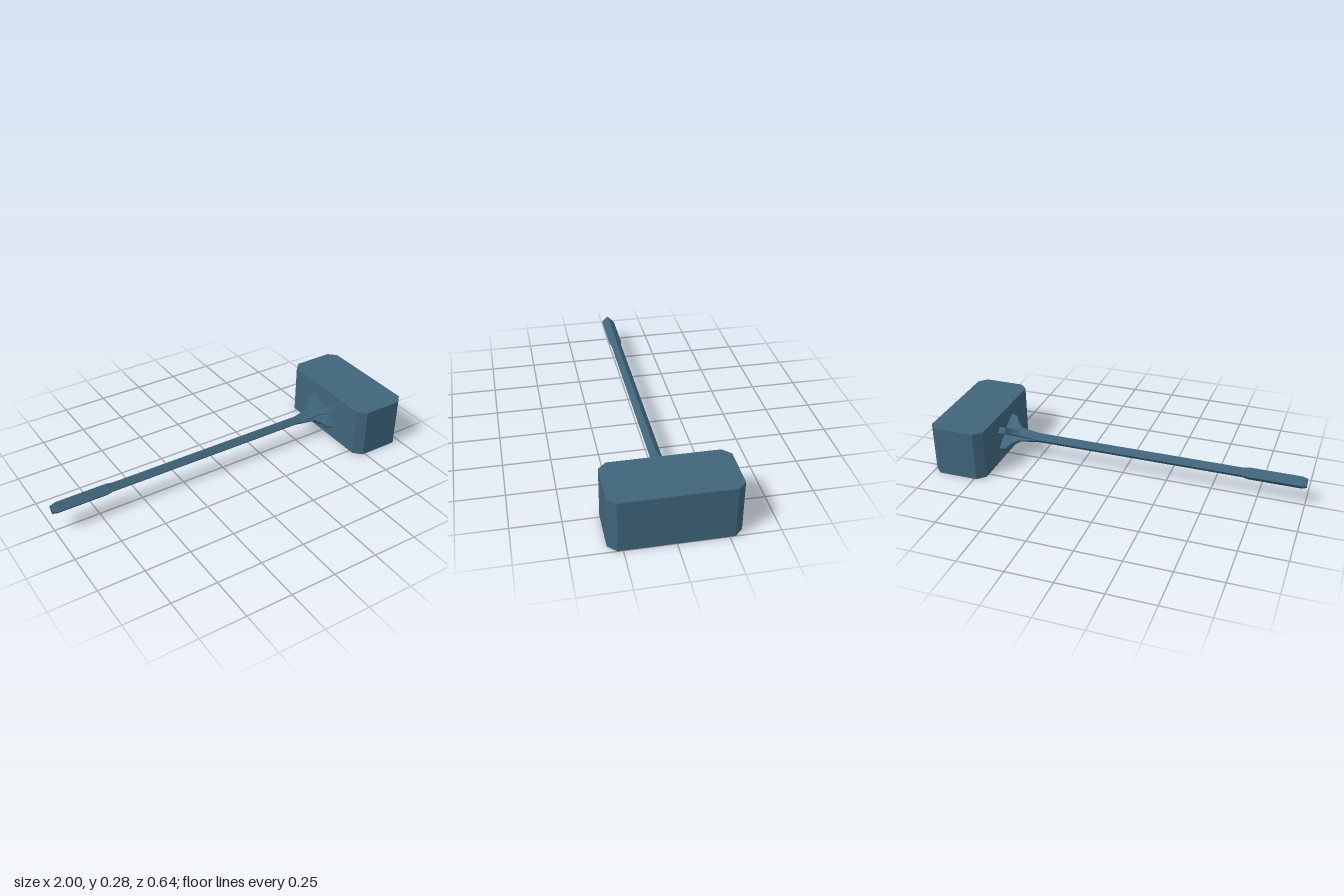
import * as THREE from 'three';

const AXIS_Y = 0.135, AXIS_Z = -0.003;

// Skin a row of cross-sections along x; each section is { x, ring: [[y, z], ...] }, turning from +y to +z
function skin(sections, capStart) {
  const pos = [];
  const point = (s, j) => {
    const [y, z] = s.ring[j % s.ring.length];
    return [s.x, y, z];
  };
  for (let i = 0; i < sections.length - 1; i++) {
    const s = sections[i], t = sections[i + 1];
    for (let j = 0; j < s.ring.length; j++) {
      const a = point(s, j), b = point(s, j + 1), c = point(t, j), d = point(t, j + 1);
      pos.push(...a, ...b, ...c, ...b, ...d, ...c);
    }
  }
  if (capStart) {
    const s = sections[0];
    for (let j = 0; j < s.ring.length; j++) pos.push(s.x, 0, 0, ...point(s, j + 1), ...point(s, j));
  }
  const g = new THREE.BufferGeometry();
  g.setAttribute('position', new THREE.Float32BufferAttribute(pos, 3));
  g.computeVertexNormals();
  return g;
}

const diamond = (x, r) => ({ x, ring: [[r, 0], [0, r], [-r, 0], [0, -r]] });

// Four diagonal arms with blunt tips, and a valley on each axis between them
function star(x, valley, [y1, z1], [y2, z2]) {
  const v = valley;
  return { x, ring: [
    [v, 0], [y1, z1], [y2, z2],
    [0, v], [-y2, z2], [-y1, z1],
    [-v, 0], [-y1, -z1], [-y2, -z2],
    [0, -v], [y2, -z2], [y1, -z1],
  ] };
}

export function createModel() {
  const steel = new THREE.MeshStandardMaterial({ color: 0x3f657b });
  steel.name = 'blueSteel';
  steel.flatShading = true;

  const group = new THREE.Group();
  const add = (name, geometry, y = 0, z = 0) => {
    const mesh = new THREE.Mesh(geometry, steel);
    mesh.name = name;
    mesh.position.set(0, y, z);
    group.add(mesh);
  };

  // Head: block with its four upright edges cut off
  const c = 0.042, x0 = 0.695, x1 = 1, d = 0.32;
  const outline = new THREE.Shape([
    [x0 + c, -d], [x1 - c, -d], [x1, -d + c], [x1, d - c],
    [x1 - c, d], [x0 + c, d], [x0, d - c], [x0, -d + c],
  ].map(([x, y]) => new THREE.Vector2(x, y)));
  const head = new THREE.ExtrudeGeometry(outline, { depth: 0.277, bevelEnabled: false });
  head.rotateX(-Math.PI / 2);
  add('head', head);

  // Handle: thicker grip stepping down to a slim square shaft
  add('handle', skin([
    diamond(-1, 0.028), diamond(-0.975, 0.037), diamond(-0.695, 0.037),
    diamond(-0.665, 0.03), diamond(0.49, 0.03),
  ], true), AXIS_Y, AXIS_Z);

  // Collar: shaft faces spread into four arms that brace the head
  add('collar', skin([
    star(0.49, 0.03, [0.0299, 0.0001], [0.0001, 0.0299]),
    star(0.6, 0.028, [0.036, 0.016], [0.016, 0.042]),
    star(0.635, 0.028, [0.052, 0.042], [0.03, 0.064]),
    star(0.66, 0.028, [0.074, 0.076], [0.048, 0.1]),
    star(0.7, 0.028, [0.076, 0.08], [0.05, 0.104]),
  ], false), AXIS_Y, AXIS_Z);

  return group;
}
